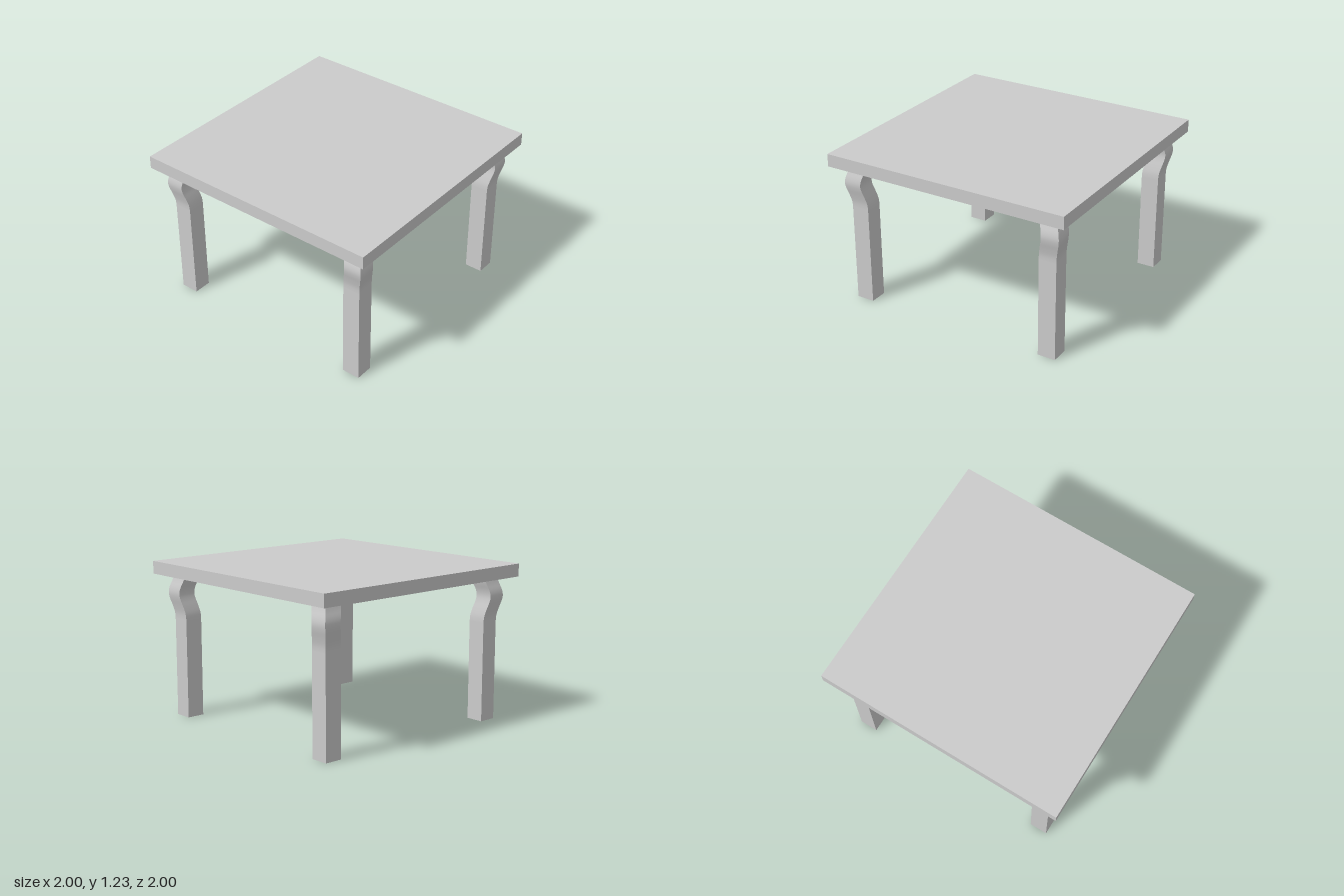
import * as THREE from 'three';

const TOP_Y = 1.23, TOP_THICK = 0.1, LEG_H = TOP_Y - TOP_THICK;
const LEG_W = 0.142, LEG_POS = 0.812, BEND_START = 0.78, BEND = 0.035;

// Outward shift of the leg along its height: straight shaft, then a rounded knee
const knee = new THREE.SplineCurve([
  [0, 0.78], [0.003, 0.83], [0.016, 0.89], [0.029, 0.94], [BEND, 0.985],
  [0.029, 1.03], [0.013, 1.08], [0, LEG_H],
].map(([x, y]) => new THREE.Vector2(x, y)));

function legGeometry(sx, sz) {
  const rows = 21;
  const geo = new THREE.BoxGeometry(LEG_W, 1, LEG_W, 1, rows, 1);
  const pos = geo.attributes.position;
  for (let i = 0; i < pos.count; i++) {
    const row = Math.round((pos.getY(i) + 0.5) * rows);
    // row 0 is the foot, the others are spread over the knee
    const p = row === 0 ? { x: 0, y: 0 } : knee.getPoint((row - 1) / (rows - 1));
    pos.setXYZ(i, pos.getX(i) + sx * p.x, p.y, pos.getZ(i) + sz * p.x);
  }
  // sides share no corners, so they stay sharp while the bend is smooth
  geo.computeVertexNormals();
  return geo;
}

export function createModel() {
  const table = new THREE.Group();
  table.name = 'table';
  const material = new THREE.MeshStandardMaterial({ color: 0xcccccc });

  // Square slab
  const top = new THREE.Mesh(new THREE.BoxGeometry(2, TOP_THICK, 2), material);
  top.name = 'tableTop';
  top.position.y = TOP_Y - TOP_THICK / 2;
  table.add(top);

  // Four legs, each knee bending diagonally outwards
  for (const sx of [-1, 1]) {
    for (const sz of [-1, 1]) {
      const leg = new THREE.Mesh(legGeometry(sx, sz), material);
      leg.name = (sz > 0 ? 'front' : 'back') + (sx > 0 ? 'Left' : 'Right') + 'Leg';
      leg.position.set(sx * LEG_POS, 0, sz * LEG_POS);
      table.add(leg);
    }
  }
  return table;
}
